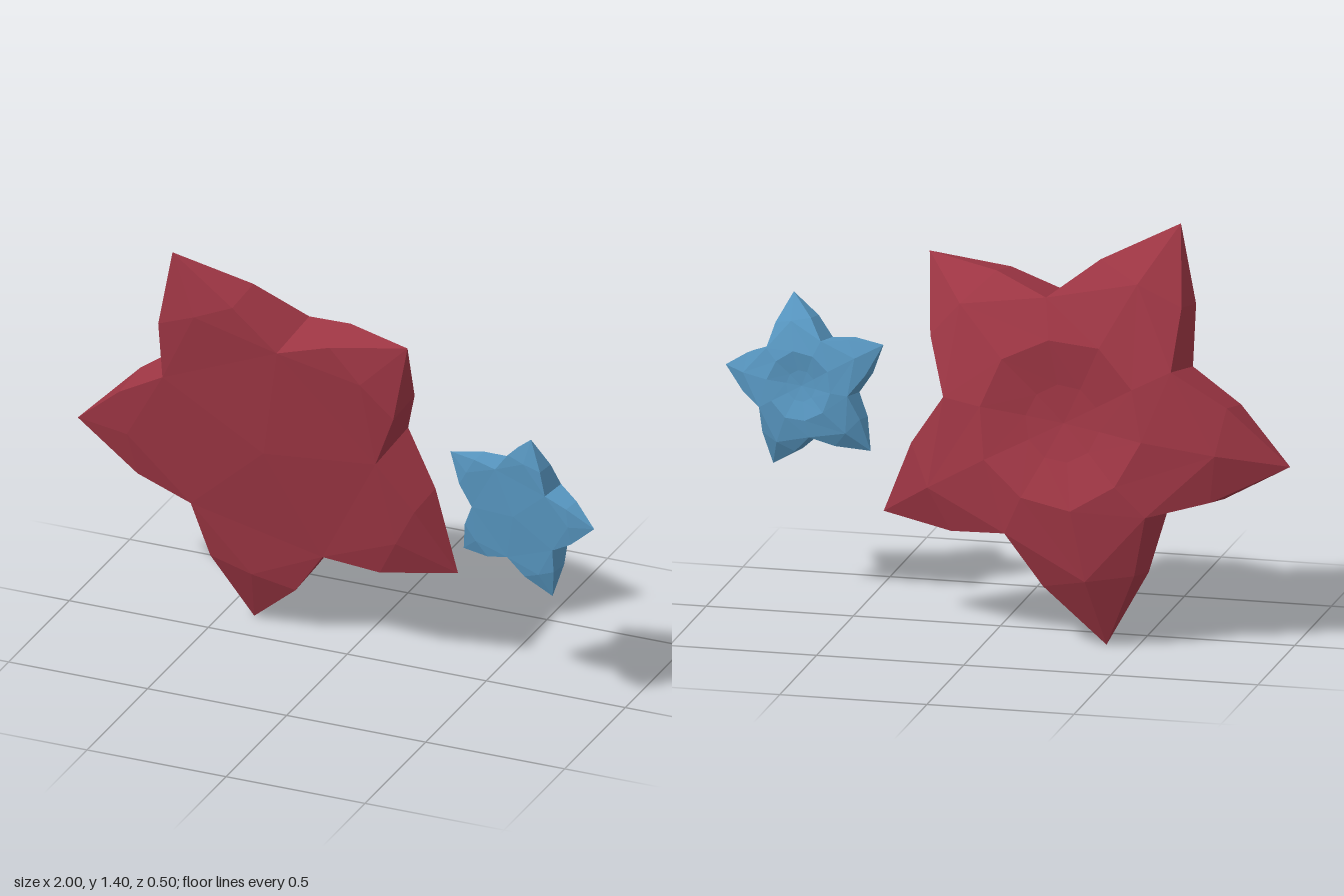
import * as THREE from 'three';

// One five-armed starfish, lying in the local xy plane with its flat side toward +z
function starGeometry() {
  const pos = [];
  const tri = (...p) => p.forEach(v => pos.push(v.x, v.y, v.z));
  const quad = (a, b, c, d) => { tri(a, b, c); tri(a, c, d); };
  const half = Math.PI / 5;
  const frontCentre = new THREE.Vector3(0, 0, 0.075);
  const backCentre = new THREE.Vector3(0, 0, -0.15);

  for (let i = 0; i < 5; i++) {
    const angle = i * 2 * half;
    // Point given by distance along the arm, distance across it, and height
    const at = (along, across, z) =>
      new THREE.Vector3(along, across, z).applyAxisAngle(new THREE.Vector3(0, 0, 1), angle);
    const valley = (r, side, z) => at(r * Math.cos(half), side * r * Math.sin(half), z);

    const tip = at(0.75, 0, 0);
    const ridgeF = at(0.53, 0, 0.06), ridgeB = at(0.53, 0, -0.14);
    const [mfR, mfL] = [-1, 1].map(s => at(0.53, s * 0.16, 0.05));
    const [mbR, mbL] = [-1, 1].map(s => at(0.53, s * 0.16, -0.1));
    const [vfR, vfL] = [-1, 1].map(s => valley(0.42, s, 0.06));
    const [vbR, vbL] = [-1, 1].map(s => valley(0.42, s, -0.17));
    const [oR, oL] = [-1, 1].map(s => valley(0.28, s, -0.2));
    const [iR, iL] = [-1, 1].map(s => valley(0.13, s, -0.165));
    const oT = at(0.29, 0, -0.2), iT = at(0.13, 0, -0.165);

    // Flat front
    tri(frontCentre, vfR, vfL);
    tri(vfR, mfR, ridgeF);
    tri(vfR, ridgeF, vfL);
    tri(ridgeF, mfL, vfL);
    tri(mfR, tip, ridgeF);
    tri(ridgeF, tip, mfL);

    // Arm sides
    tri(mfL, tip, mbL);
    quad(vfL, mfL, mbL, vbL);
    quad(mfR, vfR, vbR, mbR);
    tri(tip, mfR, mbR);

    // Ridged back of the arm
    tri(tip, mbR, ridgeB);
    tri(tip, ridgeB, mbL);
    tri(mbR, vbR, ridgeB);
    tri(mbL, ridgeB, vbL);
    quad(oT, ridgeB, vbR, oR);
    quad(oL, vbL, ridgeB, oT);

    // Dished middle of the back
    quad(iT, oT, oR, iR);
    quad(iL, oL, oT, iT);
    tri(backCentre, iT, iR);
    tri(backCentre, iL, iT);
  }
  const geometry = new THREE.BufferGeometry();
  geometry.setAttribute('position', new THREE.Float32BufferAttribute(pos, 3));
  geometry.computeVertexNormals();
  return geometry;
}

export function createModel() {
  const group = new THREE.Group();
  const geometry = starGeometry();

  // slopeX and slopeY tilt the star; turn spins it within its own plane
  const addStar = (name, colorName, color, centre, slopeX, slopeY, turn, scale) => {
    const material = new THREE.MeshStandardMaterial({ color });
    material.name = colorName;
    const star = new THREE.Mesh(geometry, material);
    star.name = name;
    const normal = new THREE.Vector3(-slopeX, -slopeY, 1).normalize();
    star.quaternion
      .setFromUnitVectors(new THREE.Vector3(0, 0, 1), normal)
      .multiply(new THREE.Quaternion().setFromAxisAngle(
        new THREE.Vector3(0, 0, 1), THREE.MathUtils.degToRad(turn)));
    star.position.set(...centre);
    star.scale.setScalar(scale);
    group.add(star);
  };

  addStar('largeStarfish', 'red', 0x9e3644, [-0.266, 0.728, -0.006], 0.085, 0.17, 43.6, 1);
  addStar('smallStarfish', 'blue', 0x5796c0, [0.694, 0.738, 0.18], 0.2, 0.09, 5.5, 0.41);
  return group;
}
